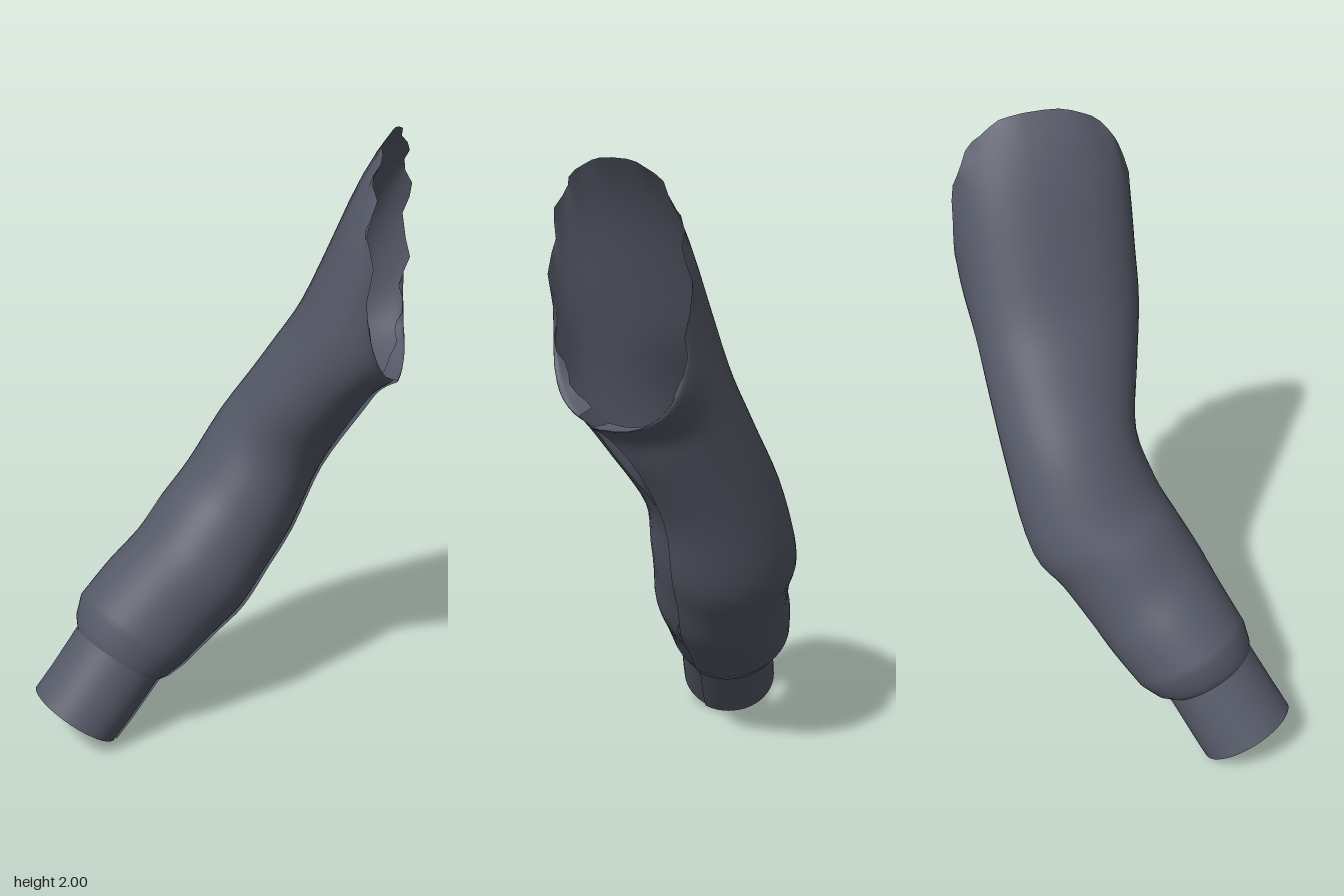
import * as THREE from 'three';

const SIDES = 48;

// Ring: centre x y z, axis x y z, radius across, radius front-back,
// back-flap angle past the seam, front-flap angle past the seam, roundness power
const cuffRings = [
  [-0.445, 0.095, 0.212, 0.52, 0.8, -0.32, 0.157, 0.163, 0.05, -0.1, 1],
  [-0.395, 0.165, 0.182, 0.52, 0.8, -0.32, 0.158, 0.162, 0.08, 0, 1],
  [-0.294, 0.319, 0.12, 0.52, 0.8, -0.32, 0.16, 0.16, 0.1, 0.1, 1],
];
const hemRings = [
  [-0.315, 0.287, 0.13, 0.52, 0.8, -0.32, 0.158, 0.158, 0.1, 0.05, 1],
  [-0.302, 0.31, 0.112, 0.52, 0.8, -0.32, 0.182, 0.18, 0.1, 0.05, 1],
];
const armRings = [
  [-0.27, 0.36, 0.085, 0.52, 0.8, -0.32, 0.205, 0.202, 0.1, 0.05, 1],
  [-0.18, 0.46, 0.037, 0.54, 0.77, -0.34, 0.211, 0.212, 0.12, 0.1, 1],
  [-0.09, 0.555, -0.002, 0.55, 0.75, -0.36, 0.213, 0.22, 0.15, -0.25, 1],
  [-0.015, 0.67, -0.057, 0.53, 0.78, -0.35, 0.21, 0.225, 0.2, -0.1, 1],
  [0.06, 0.78, -0.113, 0.5, 0.8, -0.33, 0.203, 0.238, 0.3, -0.2, 1],
  [0.16, 0.98, -0.14, 0.45, 0.87, -0.1, 0.187, 0.222, 0.25, -0.2, 1],
  [0.285, 1.175, -0.11, 0.47, 0.88, 0.05, 0.18, 0.25, 0.12, -0.5, 1],
  [0.383, 1.333, -0.08, 0.72, 0.69, 0.05, 0.184, 0.275, 0.2, -0.45, 0.93],
  [0.467, 1.48, -0.07, 0.92, 0.39, 0.1, 0.26, 0.284, 0.2, -0.4, 0.85],
  [0.515, 1.625, -0.067, 1, 0, 0.17, 0.375, 0.289, 0.1, -0.35, 0.8],
];

// Smooth extra rings between the given ones
function refine(rings, steps) {
  const cr = (a, b, c, d, t) => 0.5 * (2 * b + (c - a) * t
    + (2 * a - 5 * b + 4 * c - d) * t * t + (3 * b - a - 3 * c + d) * t * t * t);
  const out = [];
  const last = rings.length - 1;
  for (let i = 0; i < last; i++) {
    for (let s = 0; s < steps; s++) {
      out.push(rings[i].map((v, k) => cr(
        rings[Math.max(i - 1, 0)][k], v, rings[i + 1][k],
        rings[Math.min(i + 2, last)][k], s / steps)));
    }
  }
  out.push(rings[last]);
  return out;
}

const bulge = (v, power) => Math.sign(v) * Math.abs(v) ** power;

// Open cloth tube whose two edges meet or lap along the inner side
function clothTube(rings, raggedEnd = 0) {
  const pos = [], index = [];
  rings.forEach(([cx, cy, cz, dx, dy, dz, ra, rf, back, front, power], i) => {
    const d = new THREE.Vector3(dx, dy, dz).normalize();
    const across = new THREE.Vector3(-dy, dx, 0).normalize();
    const fwd = d.clone().cross(across);
    for (let j = 0; j <= SIDES; j++) {
      const t = THREE.MathUtils.lerp(-Math.PI - back, Math.PI + front, j / SIDES);
      // The back flap lies just outside the front flap
      const lap = 1 + 0.025 * Math.max(0, 1 - j / 6) - 0.02 * Math.max(0, 1 - (SIDES - j) / 6);
      const p = new THREE.Vector3(cx, cy, cz)
        .addScaledVector(across, bulge(Math.cos(t), power) * ra * lap)
        .addScaledVector(fwd, bulge(Math.sin(t), power) * rf * lap);
      if (i === rings.length - 1) p.addScaledVector(d, raggedEnd * Math.sin(j * 1.7) * Math.abs(Math.sin(t)));
      pos.push(p.x, p.y, p.z);
    }
  });
  const w = SIDES + 1;
  for (let i = 0; i < rings.length - 1; i++) {
    for (let j = 0; j < SIDES; j++) {
      const a = i * w + j;
      index.push(a, a + 1, a + w, a + 1, a + w + 1, a + w);
    }
  }
  const g = new THREE.BufferGeometry();
  g.setAttribute('position', new THREE.Float32BufferAttribute(pos, 3));
  g.setIndex(index);
  g.computeVertexNormals();
  return g;
}

export function createModel() {
  const group = new THREE.Group();
  group.name = 'sleeve';
  const cloth = new THREE.MeshStandardMaterial({ color: 0x565a68, side: THREE.DoubleSide });
  cloth.name = 'slate cloth';
  const add = (name, geometry) => {
    const mesh = new THREE.Mesh(geometry, cloth);
    mesh.name = name;
    group.add(mesh);
  };
  add('cuff', clothTube(cuffRings));
  add('sleeveArm', clothTube([...hemRings, ...refine(armRings, 4)], 0.016));
  return group;
}
